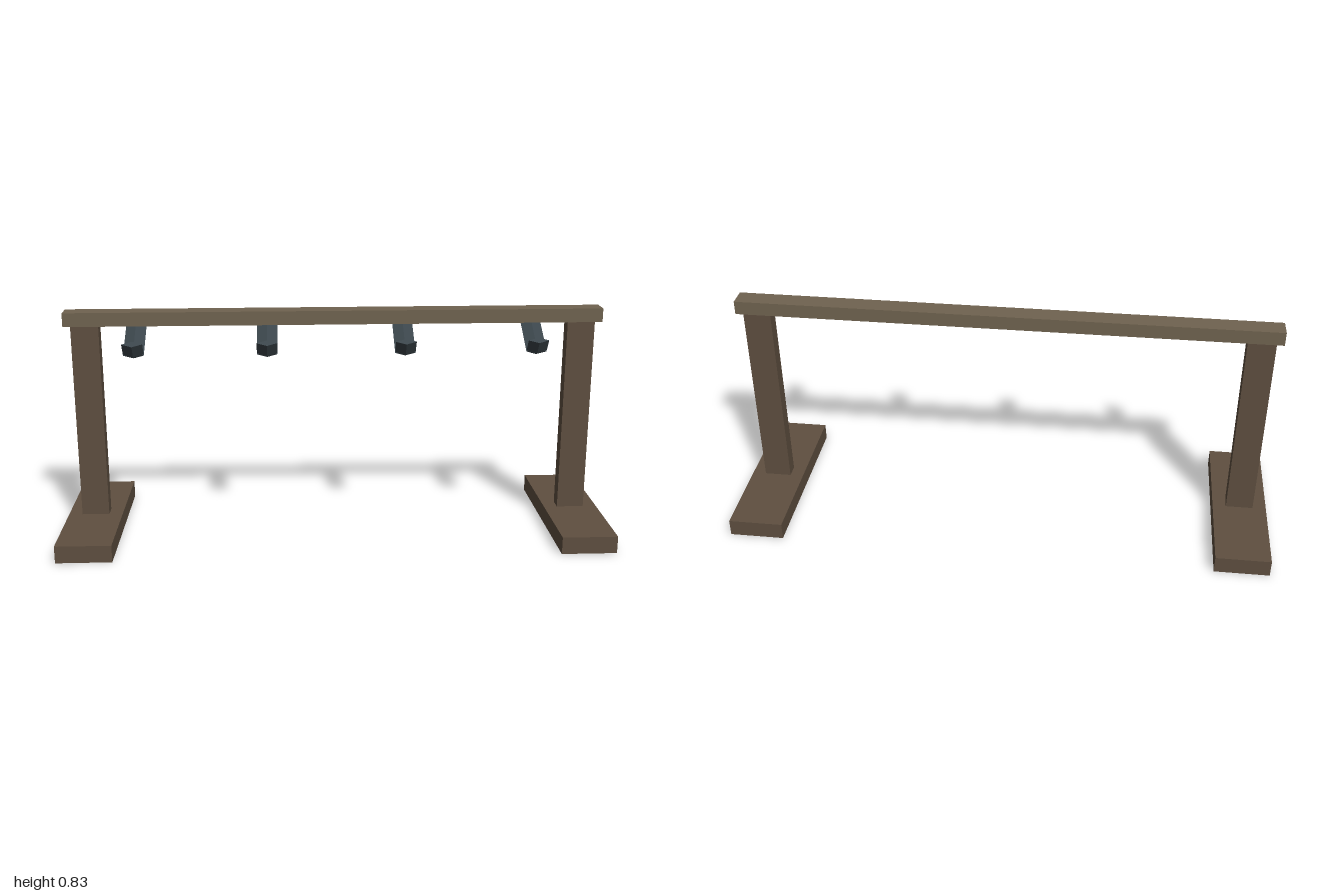
import * as THREE from 'three';

const mat = (color) => {
  const m = new THREE.MeshStandardMaterial({ color });
  m.flatShading = true;
  return m;
};

export function createModel() {
  const group = new THREE.Group();
  const wood = mat(0x5f4f40);
  const railWood = mat(0x706350);
  const iron = mat(0x3b454b);

  const box = (name, size, pos, material) => {
    const mesh = new THREE.Mesh(new THREE.BoxGeometry(...size), material);
    mesh.position.set(...pos);
    mesh.name = name;
    group.add(mesh);
  };

  // Feet and posts, mirrored
  for (const [side, s] of [['left', 1], ['right', -1]]) {
    box(side + 'Foot', [0.2, 0.063, 0.667], [s * 0.9, 0.0315, 0], wood);
    box(side + 'Post', [0.1, 0.72, 0.051], [s * 0.9, 0.423, 0], wood);
  }

  // Top rail
  box('topRail', [1.95, 0.05, 0.073], [0, 0.808, 0], railWood);

  // Flattened four-sided bar between two points given as [y, z]
  const bar = (name, [y0, z0], [y1, z1]) => {
    const geo = new THREE.CylinderGeometry(0.0135, 0.0135, Math.hypot(y1 - y0, z1 - z0), 4);
    geo.scale(2.7, 1, 1);
    const mesh = new THREE.Mesh(geo, iron);
    mesh.position.set(0, (y0 + y1) / 2, (z0 + z1) / 2);
    mesh.rotation.x = Math.atan2(z1 - z0, y1 - y0);
    mesh.name = name;
    return mesh;
  };

  // Hooks hanging forward from the rail
  [-0.715, -0.245, 0.245, 0.715].forEach((x, i) => {
    const hook = new THREE.Group();
    hook.name = 'hook' + (i + 1);
    hook.add(bar('hookArm', [0.789, 0], [0.7, 0.138]), bar('hookTip', [0.705, 0.14], [0.747, 0.168]));
    hook.position.x = x;
    group.add(hook);
  });

  return group;
}
